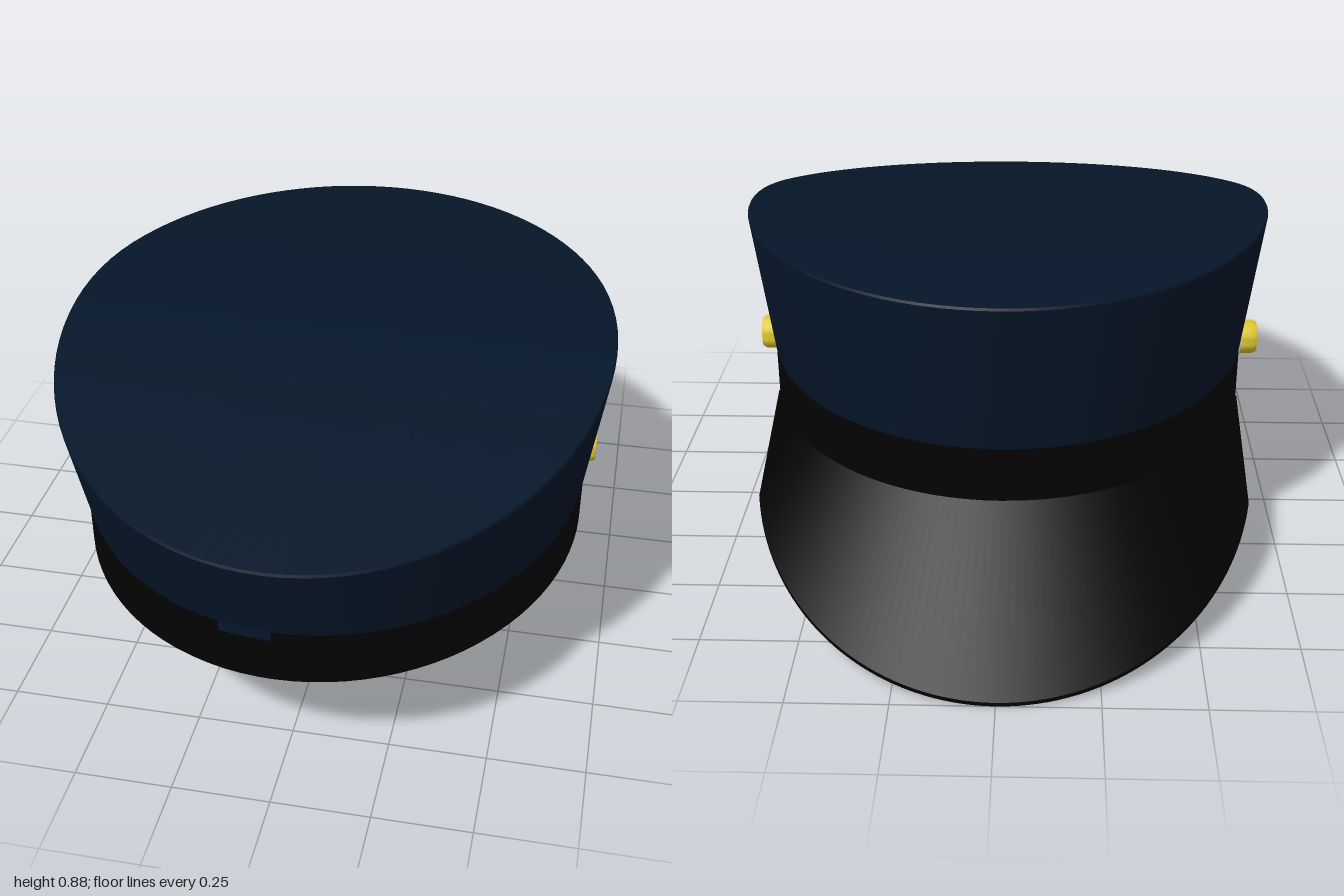
import * as THREE from 'three';
import { toCreasedNormals } from 'three/addons/utils/BufferGeometryUtils.js';

const CZ = 0.155; // centre of the head ellipse along z
const N = 96;

const paint = (color, side = THREE.FrontSide) => new THREE.MeshStandardMaterial({ color, side });

// Height of the crown's top: nearly flat over the visor, sloping down at the other end
function topY(z) {
  const a = 0.71 + 0.2 * (1 - z), b = 0.884 - 0.015 * (z + 0.15) ** 2, k = 0.06;
  const h = Math.max(k - Math.abs(a - b), 0) / k;
  return Math.min(a, b) - h * h * k * 0.25;
}

// Elliptical cross-section; y is a number or a function of z
const ring = (a, b, y, cz = CZ) => (t) => {
  const th = t * Math.PI * 2, z = cz + b * Math.sin(th);
  return [a * Math.cos(th), typeof y === 'function' ? y(z) : y, z];
};

// Skin a list of cross-sections, listed from bottom to top for outward faces
function loft(rings, closed = true) {
  const pos = [], idx = [], cols = closed ? N : N + 1;
  rings.forEach((r) => { for (let j = 0; j < cols; j++) pos.push(...r(j / N)); });
  for (let i = 0; i < rings.length - 1; i++) {
    for (let j = 0; j < N; j++) {
      const k = (j + 1) % cols;
      const p = i * cols + j, q = i * cols + k, u = p + cols, w = q + cols;
      idx.push(p, u, q, q, u, w);
    }
  }
  const g = new THREE.BufferGeometry();
  g.setAttribute('position', new THREE.Float32BufferAttribute(pos, 3));
  g.setIndex(idx);
  return toCreasedNormals(g, 0.6);
}

// Concentric rings closing a surface that follows topY, from the rim inward
const cap = (a, b, drop) => [1, 0.85, 0.7, 0.5, 0.3, 0.15, 0.0005].map(
  (s) => ring(a * s, b * s, (z) => topY(z) - drop));

export function createModel() {
  const group = new THREE.Group();
  const add = (name, geometry, material) => {
    const m = new THREE.Mesh(geometry, material);
    m.name = name;
    group.add(m);
    return m;
  };
  const navy = paint(0x051629, THREE.DoubleSide);
  const black = paint(0x020202, THREE.DoubleSide);
  const gold = paint(0xe0c832);

  // Flaring crown with a slightly softened rim
  add('crown', loft([
    ring(0.657, 0.775, 0.475, 0.152),
    ring(0.664, 0.781, 0.5, 0.153),
    ring(0.715, 0.845, (z) => topY(z) - 0.006),
    ...cap(0.712, 0.842, 0),
  ]), navy);

  // Thin band round the head, turned in at its lower edge
  add('band', loft([
    ring(0.645, 0.763, 0.362, 0.152),
    ring(0.645, 0.763, 0.336, 0.152),
    ring(0.654, 0.772, 0.333, 0.152),
    ring(0.66, 0.78, 0.342, 0.152),
    ring(0.661, 0.779, 0.482, 0.152),
    ring(0.65, 0.765, 0.483, 0.152),
  ]), black);

  // Pale lining just inside the band and crown, facing inward
  add('lining', loft([
    ring(0.645, 0.763, 0.36, 0.152),
    ring(0.645, 0.763, 0.49, 0.152),
    ring(0.693, 0.823, (z) => topY(z) - 0.02),
    ...cap(0.693, 0.823, 0.02).slice(1),
  ].reverse()), paint(0xcccccc));

  // Visor: ruled between the band's lower edge and a drooping outline
  const inner = (dy) => (t) => {
    const start = Math.asin(0.2), th = -start - t * (Math.PI - 2 * start);
    return [0.654 * Math.cos(th), 0.34 + dy, 0.152 + 0.777 * Math.sin(th)];
  };
  // Outline: straight at the temples, then a broad ellipse meeting it at a corner
  const corner = Math.acos(0.65 / 0.67);
  const outer = (dy) => (t) => {
    const side = t <= 0.5 ? 1 : -1, h = 1 - Math.abs(2 * t - 1);
    if (h < 0.25) return [side * 0.65, 0.335 - 0.52 * h + dy, -1.52 * h];
    const f = corner + ((h - 0.25) / 0.75) * (Math.PI / 2 - corner);
    const z = -0.182 - 0.818 * Math.sin(f);
    return [side * 0.67 * Math.cos(f), 0.01 + 0.315 * (z + 1) + dy, z];
  };
  add('visor', loft([inner(0), outer(0), outer(-0.01), inner(-0.01)], false), black);

  // Small cloth tab overlapping the band at the end away from the visor
  const tabEdge = (y, grow) => (t) => {
    const x = -0.13 + 0.13 * t;
    return [x, y, 0.152 + (0.779 + grow) * Math.sqrt(1 - (x / 0.661) ** 2)];
  };
  add('seamTab', loft([tabEdge(0.46, 0), tabEdge(0.46, 0.003), tabEdge(0.49, 0.003)], false), navy);

  // Flat side buttons with a bevelled edge, the left one set a little deeper
  const profile = [[0.047, 0], [0.047, 0.036], [0.042, 0.045], [0, 0.045]]
    .map(([r, y]) => new THREE.Vector2(r, y));
  for (const [name, s, x] of [['leftButton', 1, 0.641], ['rightButton', -1, 0.651]]) {
    const b = add(name, toCreasedNormals(new THREE.LatheGeometry(profile, 32), 0.6), gold);
    b.position.set(s * x, 0.506, 0.03);
    b.rotation.z = -s * Math.PI / 2;
  }
  return group;
}
